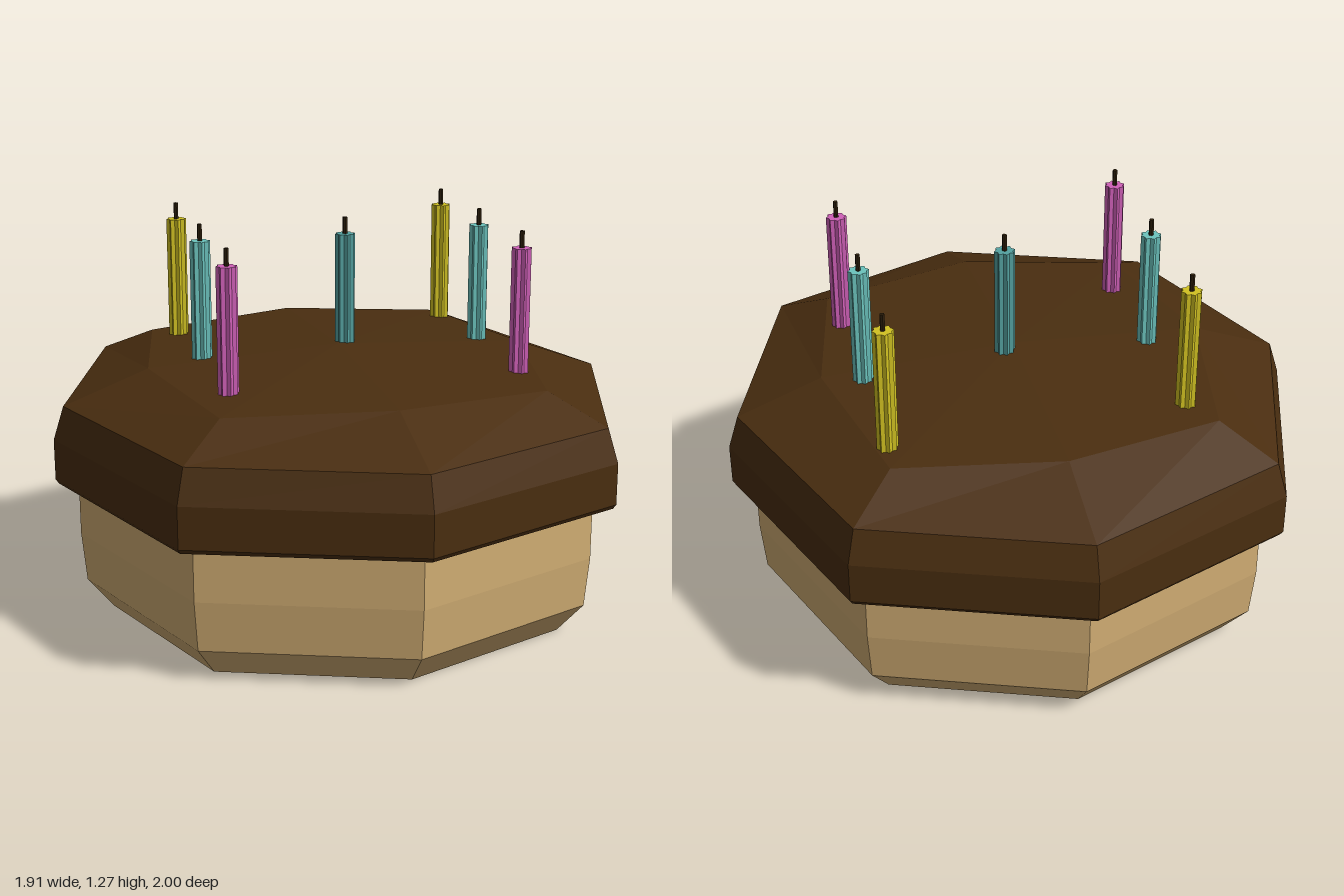
import * as THREE from 'three';

const mat = (name, color) => Object.assign(new THREE.MeshStandardMaterial({ color, flatShading: true }), { name });

// Eight-sided loft; each ring is [radius, y, cornerStretch, cornerY]
const DEPTH = 1.047;
function octagonLoft(rings) {
  const point = ([r, y, stretch = 1.03, cornerY = y], k) => {
    const a = k * Math.PI / 4, corner = k % 2 === 1;
    const s = corner ? r * stretch : r;
    return [Math.sin(a) * s, corner ? cornerY : y, Math.cos(a) * s * DEPTH];
  };
  const pos = [];
  for (let i = 0; i < rings.length - 1; i++) {
    for (let k = 0; k < 8; k++) {
      const a = point(rings[i], k), b = point(rings[i], k + 1);
      const c = point(rings[i + 1], k + 1), d = point(rings[i + 1], k);
      if (rings[i][0] > 0) pos.push(...a, ...b, ...c);
      if (rings[i + 1][0] > 0) pos.push(...a, ...c, ...d);
    }
  }
  const g = new THREE.BufferGeometry();
  g.setAttribute('position', new THREE.Float32BufferAttribute(pos, 3));
  g.computeVertexNormals();
  return g;
}

// Fluted candle shaft: every second edge is pulled inwards
function candleGeometry(bottom, top) {
  const g = new THREE.CylinderGeometry(0.034, 0.034, top - bottom, 16).toNonIndexed();
  const p = g.attributes.position;
  for (let i = 0; i < p.count; i++) {
    const x = p.getX(i), z = p.getZ(i);
    const step = Math.round(Math.atan2(x, z) / (Math.PI / 8));
    if (Math.hypot(x, z) > 0.01 && step % 2 !== 0) {
      p.setX(i, x * 0.78);
      p.setZ(i, z * 0.78);
    }
  }
  g.translate(0, (top + bottom) / 2, 0);
  g.computeVertexNormals();
  return g;
}

export function createModel() {
  const model = new THREE.Group();
  model.name = 'cake';
  const sponge = mat('sponge', 0xd2ae74);
  const chocolate = mat('chocolate', 0x4a2e10);
  const wickMat = mat('wick', 0x2c1e0a);
  const pink = mat('pink', 0xd060b8);
  const teal = mat('teal', 0x6cc4be);
  const deepTeal = mat('deepTeal', 0x55a3a1);
  const yellow = mat('yellow', 0xd2c222);

  const add = (parent, name, geometry, material) => {
    const mesh = new THREE.Mesh(geometry, material);
    mesh.name = name;
    parent.add(mesh);
    return mesh;
  };

  // Sponge base with a hollowed underside
  add(model, 'spongeBase', octagonLoft([
    [0, 0.09], [0.27, 0.08], [0.56, 0.04], [0.78, 0],
    [0.865, 0.105], [0.88, 0.27], [0.88, 0.5],
  ]), sponge);

  // Overhanging icing with a shallow domed top
  add(model, 'icing', octagonLoft([
    [0.84, 0.465], [0.945, 0.45], [0.955, 0.465], [0.955, 0.6],
    [0.92, 0.71], [0.64, 0.815, 1.16, 0.8], [0, 0.852],
  ]), chocolate);

  // Candles
  const shaft = candleGeometry(0.8, 1.215);
  const wick = new THREE.CylinderGeometry(0.008, 0.008, 0.06, 6).translate(0, 1.24, 0);
  const addCandle = (x, z, material) => {
    const candle = new THREE.Group();
    candle.name = 'candle';
    add(candle, 'candleShaft', shaft, material);
    add(candle, 'candleWick', wick, wickMat);
    candle.position.set(x, 0, z);
    model.add(candle);
  };
  for (const x of [-0.45, 0.51]) {
    addCandle(x, 0.34, pink);
    addCandle(x, -0.05, teal);
    addCandle(x, -0.44, yellow);
  }
  addCandle(0.035, -0.035, deepTeal);

  return model;
}
